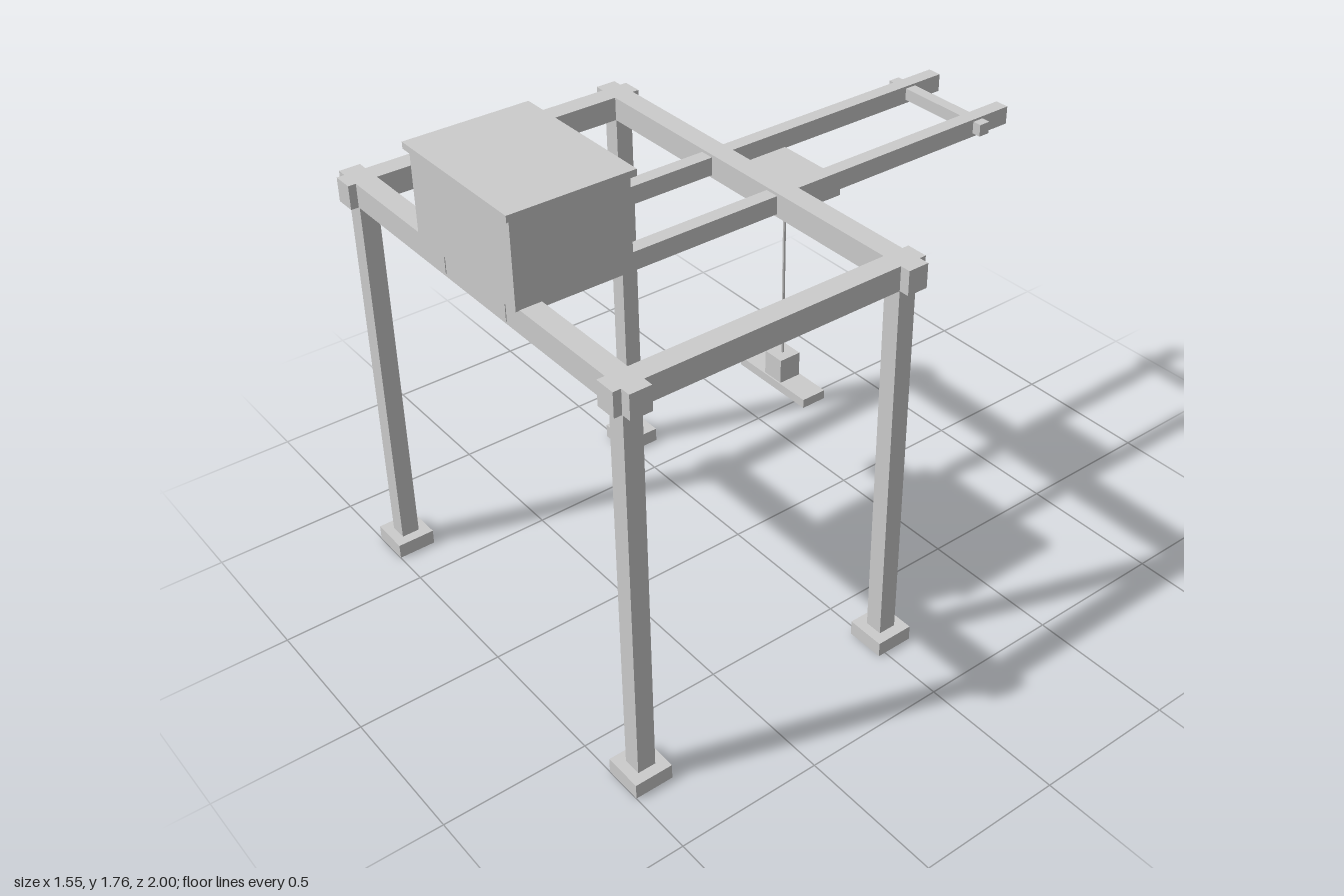
import * as THREE from 'three';

export function createModel() {
  const model = new THREE.Group();
  model.name = 'gantryHoist';
  const material = new THREE.MeshStandardMaterial({ color: 0xcccccc, flatShading: true });

  // Box given by its extents along each axis
  function box(name, [x0, x1], [y0, y1], [z0, z1]) {
    const mesh = new THREE.Mesh(new THREE.BoxGeometry(x1 - x0, y1 - y0, z1 - z0), material);
    mesh.position.set((x0 + x1) / 2, (y0 + y1) / 2, (z0 + z1) / 2);
    mesh.name = name;
    model.add(mesh);
    return mesh;
  }
  const around = (c, size) => [c - size / 2, c + size / 2];

  const legX = 0.702, frontZ = 0.933, backZ = -0.04;
  const beamY = [1.372, 1.455];

  // Legs with foot pads
  for (const [end, z] of [['front', frontZ], ['back', backZ]]) {
    for (const [side, s] of [['Left', 1], ['Right', -1]]) {
      box(`${end}${side}Leg`, around(s * legX, 0.063), [0.05, 1.375], around(z, 0.063));
      box(`${end}${side}Foot`, around(s * legX, 0.137), [0, 0.053], around(z, 0.133));
    }
    // Cross beams, overhanging the legs
    box(`${end}Beam`, around(0, 1.547), beamY, around(z, 0.073));
  }

  // Side beams and the two long rails reaching out behind the frame
  for (const [side, s] of [['left', 1], ['right', -1]]) {
    box(`${side}Beam`, around(s * legX, 0.073), beamY, [-0.1, 0.996]);
    box(`${side}Rail`, around(s * 0.162, 0.05), [1.382, 1.445], [-1, 0.972]);
  }
  box('railTie', around(0, 0.438), around(1.416, 0.042), around(-0.863, 0.042));

  // Machinery housing with overhanging lid
  box('housing', around(0, 0.522), [1.453, 1.742], [0.587, 0.982]);
  box('housingLid', around(0, 0.546), [1.742, 1.764], [0.572, 0.996]);

  // Trolley, cable and lifting bar
  const hoistZ = -0.193;
  box('trolley', around(0, 0.275), [1.325, 1.386], around(hoistZ, 0.226));
  const cable = new THREE.Mesh(
    new THREE.CylinderGeometry(0.005, 0.005, 0.64, 8),
    material
  );
  cable.position.set(0, 1.01, hoistZ);
  cable.name = 'cable';
  model.add(cable);
  box('hookBlock', around(0, 0.082), [0.61, 0.7], around(hoistZ, 0.082));
  box('liftingBar', around(0, 0.334), [0.579, 0.611], around(hoistZ, 0.092));

  return model;
}
